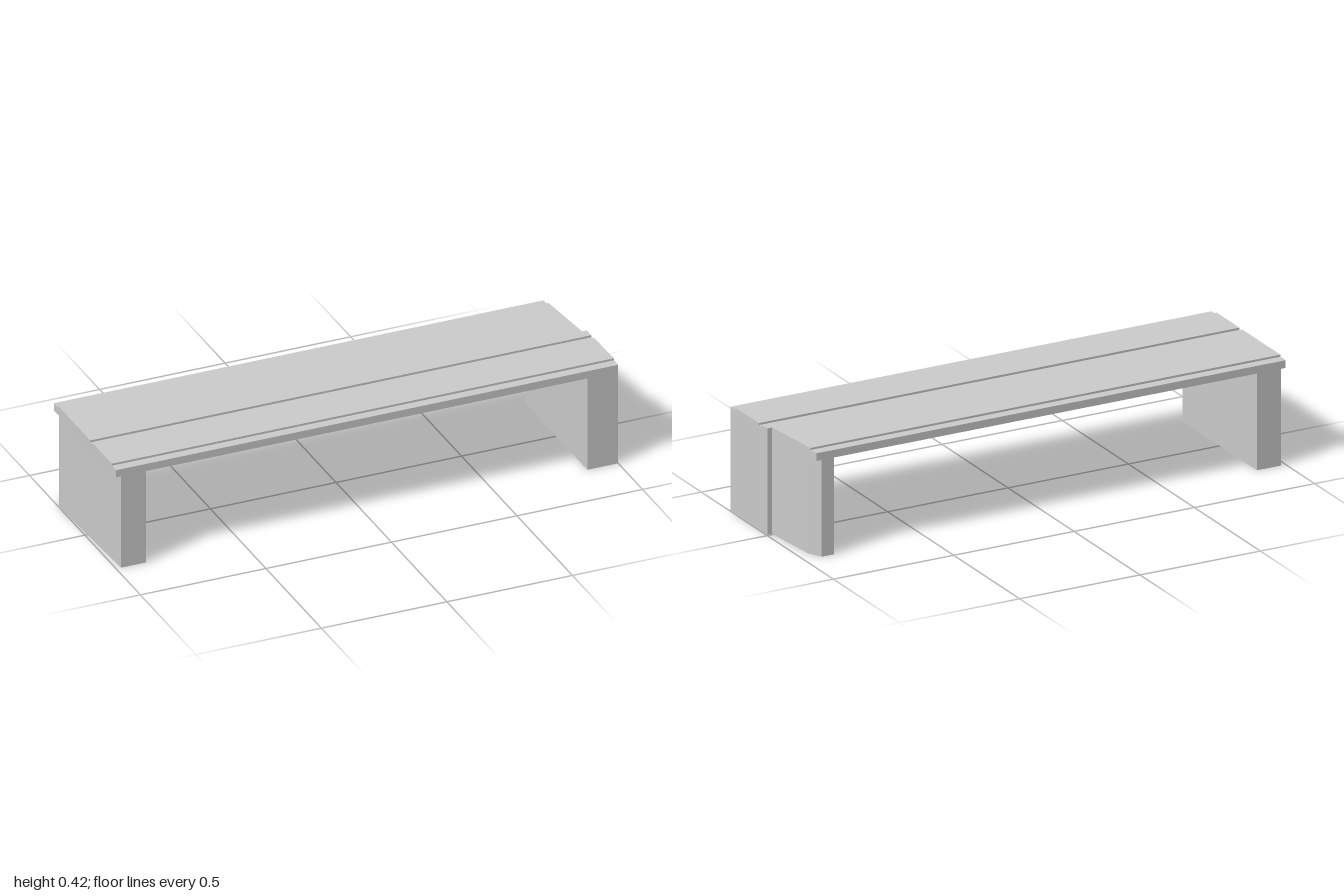
import * as THREE from 'three';

const material = new THREE.MeshStandardMaterial({ color: 0xcccccc, flatShading: true });

// Extrudes a plan outline of [x, z] corners from y0 up to y1
function prism(name, plan, y0, y1) {
  const shape = new THREE.Shape(plan.map(([x, z]) => new THREE.Vector2(x, -z)));
  const geometry = new THREE.ExtrudeGeometry(shape, { depth: y1 - y0, bevelEnabled: false });
  geometry.rotateX(-Math.PI / 2).translate(0, y0, 0);
  const mesh = new THREE.Mesh(geometry, material);
  mesh.name = name;
  return mesh;
}

const front = 0.281, back = -0.281, step = 0.007;
const underside = 0.378, slabTop = 0.408, boardTop = 0.416;

// The +x end is stepped: the front half stands proud, the back half tapers inwards
const proudX = z => 0.996 + 0.004 * (z - step) / (front - step);
const taperX = z => 0.95 + 0.027 * (z - back) / (step - back);

// Corners along the +x end, from z0 (front) to z1 (back)
function endLine(z0, z1) {
  const endX = z => (z > step ? proudX(z) : taperX(z));
  const points = [[endX(z0), z0]];
  if (z0 > step && z1 < step) points.push([proudX(step), step], [taperX(step), step]);
  points.push([endX(z1), z1]);
  return points;
}

const strip = (name, z0, z1, y0, y1) =>
  prism(name, [[-1, z0], ...endLine(z0, z1), [-1, z1]], y0, y1);

export function createModel() {
  const bench = new THREE.Group();
  bench.name = 'bench';

  // Seat slab with two raised boards and a groove between them
  bench.add(strip('seatSlab', front, back, underside, slabTop));
  bench.add(strip('frontBoard', 0.243, 0.069, slabTop, boardTop));
  bench.add(strip('backBoard', 0.048, -0.241, slabTop, boardTop));

  // Block leg following the stepped end, its back corner chamfered
  bench.add(prism('leftLeg', [
    [0.877, front], ...endLine(front, -0.23), [0.93, back], [0.877, back],
  ], 0, underside));

  // Block leg with a slanted outer face and a chamfered back corner
  bench.add(prism('rightLeg', [
    [-0.88, front], [-0.98, front], [-1, -0.23], [-0.98, back], [-0.88, back],
  ], 0, underside));

  return bench;
}
